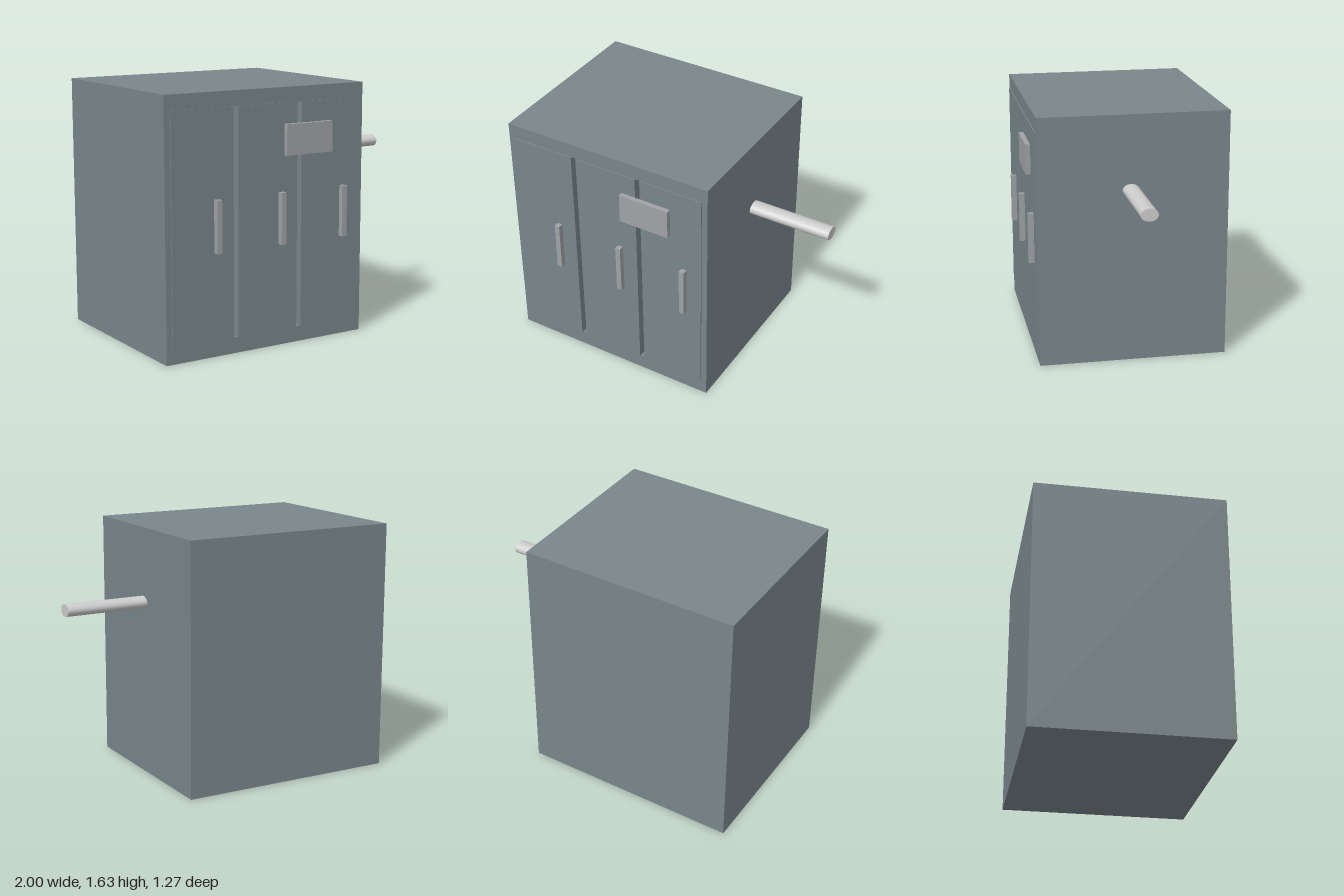
import * as THREE from 'three';

const steel = new THREE.MeshStandardMaterial({ color: 0x79868b });
const trim = new THREE.MeshStandardMaterial({ color: 0x9fa3a5 });
const grey = new THREE.MeshStandardMaterial({ color: 0xcccccc });

// Box given by its lower and upper corners
function box(name, material, [x0, y0, z0], [x1, y1, z1]) {
  const mesh = new THREE.Mesh(new THREE.BoxGeometry(x1 - x0, y1 - y0, z1 - z0), material);
  mesh.position.set((x0 + x1) / 2, (y0 + y1) / 2, (z0 + z1) / 2);
  mesh.name = name;
  return mesh;
}

export function createModel() {
  const model = new THREE.Group();
  model.name = 'cabinet';

  const left = -1, right = 0.45, top = 1.635, back = -0.635, front = 0.594;
  const recess = 0.1;
  const open = { x0: -0.96, x1: 0.41, y0: 0.1, y1: 1.54 };

  // Cabinet shell: one outline extruded front to back, open at the front
  const outline = new THREE.Shape([
    new THREE.Vector2(left, 0), new THREE.Vector2(right, 0),
    new THREE.Vector2(right, top), new THREE.Vector2(left, top),
  ]);
  outline.holes.push(new THREE.Path([
    new THREE.Vector2(open.x0, open.y0), new THREE.Vector2(open.x0, open.y1),
    new THREE.Vector2(open.x1, open.y1), new THREE.Vector2(open.x1, open.y0),
  ]));
  const shell = new THREE.Mesh(
    new THREE.ExtrudeGeometry(outline, { depth: front - back, bevelEnabled: false }), steel);
  shell.position.z = back;
  shell.name = 'cabinetShell';
  model.add(shell);

  // Solid core closing the shell behind the doors
  model.add(box('cabinetCore', steel,
    [open.x0, open.y0, back], [open.x1, open.y1, front - recess]));

  // Three doors with narrow gaps, each with an upright handle
  const gap = 0.034;
  const doorWidth = (open.x1 - open.x0 - 2 * gap) / 3;
  const doorFace = 0.601;
  for (let i = 0; i < 3; i++) {
    const x = open.x0 + i * (doorWidth + gap);
    model.add(box('door', steel,
      [x, open.y0, front - recess], [x + doorWidth, open.y1, doorFace]));
    const h = x + 0.295;
    model.add(box('doorHandle', trim, [h, 0.655, doorFace], [h + 0.035, 0.985, 0.637]));
  }

  // Control panel across the second gap
  model.add(box('controlPanel', trim, [-0.156, 1.212, doorFace], [0.19, 1.408, 0.632]));

  // Flattened round pipe out of the left side
  const pipe = new THREE.Mesh(new THREE.CylinderGeometry(1, 1, 0.55, 32), grey);
  pipe.scale.set(0.04, 1, 0.055);
  pipe.rotation.z = -Math.PI / 2;
  pipe.position.set(0.725, 1.148, 0);
  pipe.name = 'sidePipe';
  model.add(pipe);

  return model;
}
